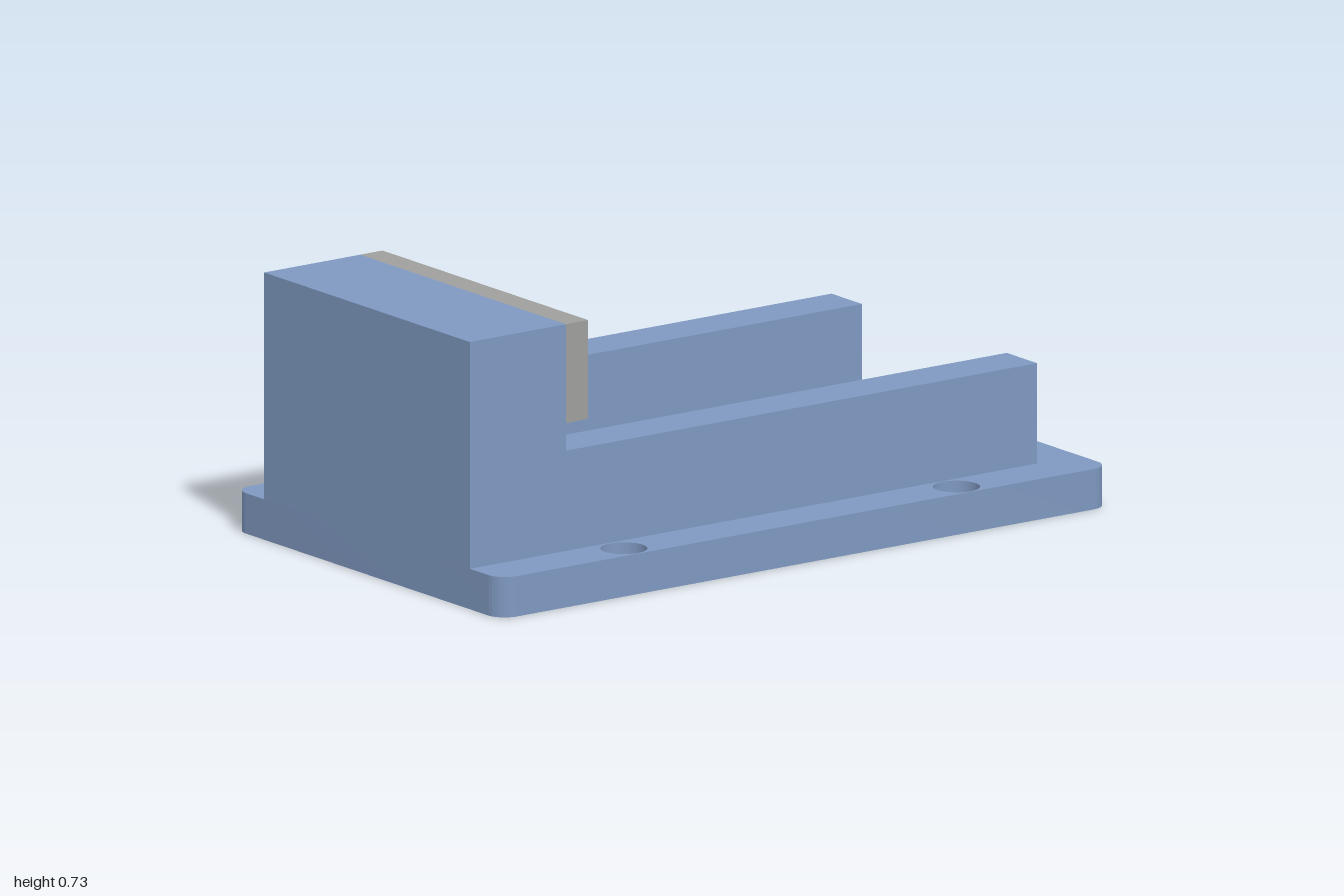
import * as THREE from 'three';
import { toCreasedNormals } from 'three/addons/utils/BufferGeometryUtils.js';

const BASE_H = 0.11, BASE_Z = 0.59, JAW_X = -0.685, JAW_Z = 0.455, TOP = 0.727;
const RAIL_END = 0.86, RAIL_TOP = 0.383, RAIL_W = 0.135, BORE_DEPTH = 0.35;

function material(name, color) {
  const m = new THREE.MeshStandardMaterial({ color });
  m.name = name;
  return m;
}

function mesh(name, geometry, mat) {
  const m = new THREE.Mesh(geometry, mat);
  m.name = name;
  return m;
}

// Box given by its lower and upper limits
function block(name, x0, x1, y0, y1, z0, z1, mat) {
  const g = new THREE.BoxGeometry(x1 - x0, y1 - y0, z1 - z0);
  g.translate((x0 + x1) / 2, (y0 + y1) / 2, (z0 + z1) / 2);
  return mesh(name, g, mat);
}

function circleHole(x, y, r) {
  return new THREE.Path().absarc(x, y, r, 0, Math.PI * 2, true);
}

function extrude(shape, depth) {
  const g = new THREE.ExtrudeGeometry(shape, { depth, bevelEnabled: false, curveSegments: 24 });
  return toCreasedNormals(g, Math.PI / 6);
}

// Rounded base plate with four mounting holes
function basePlate(mat) {
  const r = 0.055, s = new THREE.Shape();
  s.absarc(1 - r, BASE_Z - r, r, 0, Math.PI / 2);
  s.absarc(-1 + r, BASE_Z - r, r, Math.PI / 2, Math.PI);
  s.absarc(-1 + r, -BASE_Z + r, r, Math.PI, Math.PI * 1.5);
  s.absarc(1 - r, -BASE_Z + r, r, Math.PI * 1.5, Math.PI * 2);
  for (const x of [-0.545, 0.545]) {
    for (const z of [-0.523, 0.523]) s.holes.push(circleHole(x, z, 0.062));
  }
  const g = extrude(s, BASE_H);
  g.rotateX(-Math.PI / 2);
  return mesh('basePlate', g, mat);
}

// Guide rail: a solid run and an end section with a round bore
function rail(side, mat) {
  const group = new THREE.Group();
  group.name = side > 0 ? 'frontRail' : 'backRail';
  const h = RAIL_TOP - BASE_H, w = RAIL_W / 2;
  const zc = side * (JAW_Z - w), split = RAIL_END - BORE_DEPTH;

  const s = new THREE.Shape();
  s.moveTo(-w, 0).lineTo(w, 0).lineTo(w, h).lineTo(-w, h).closePath();
  s.holes.push(circleHole(0, h / 2, 0.037));
  const g = extrude(s, BORE_DEPTH);
  g.rotateY(Math.PI / 2);
  g.translate(split, BASE_H, zc);

  group.add(
    block('railBody', JAW_X, split, BASE_H, RAIL_TOP, zc - w, zc + w, mat),
    mesh('railBoredEnd', g, mat),
  );
  return group;
}

export function createModel() {
  const blue = material('blue body', 0x7f99c1);
  const grey = material('grey jaw plate', 0x9f9f9d);
  const model = new THREE.Group();
  model.name = 'viseBody';
  model.add(
    basePlate(blue),
    block('fixedJaw', -1, JAW_X, BASE_H, TOP, -JAW_Z, JAW_Z, blue),
    block('jawPlate', JAW_X, -0.612, 0.458, TOP, -JAW_Z, JAW_Z, grey),
    rail(1, blue),
    rail(-1, blue),
  );
  return model;
}
